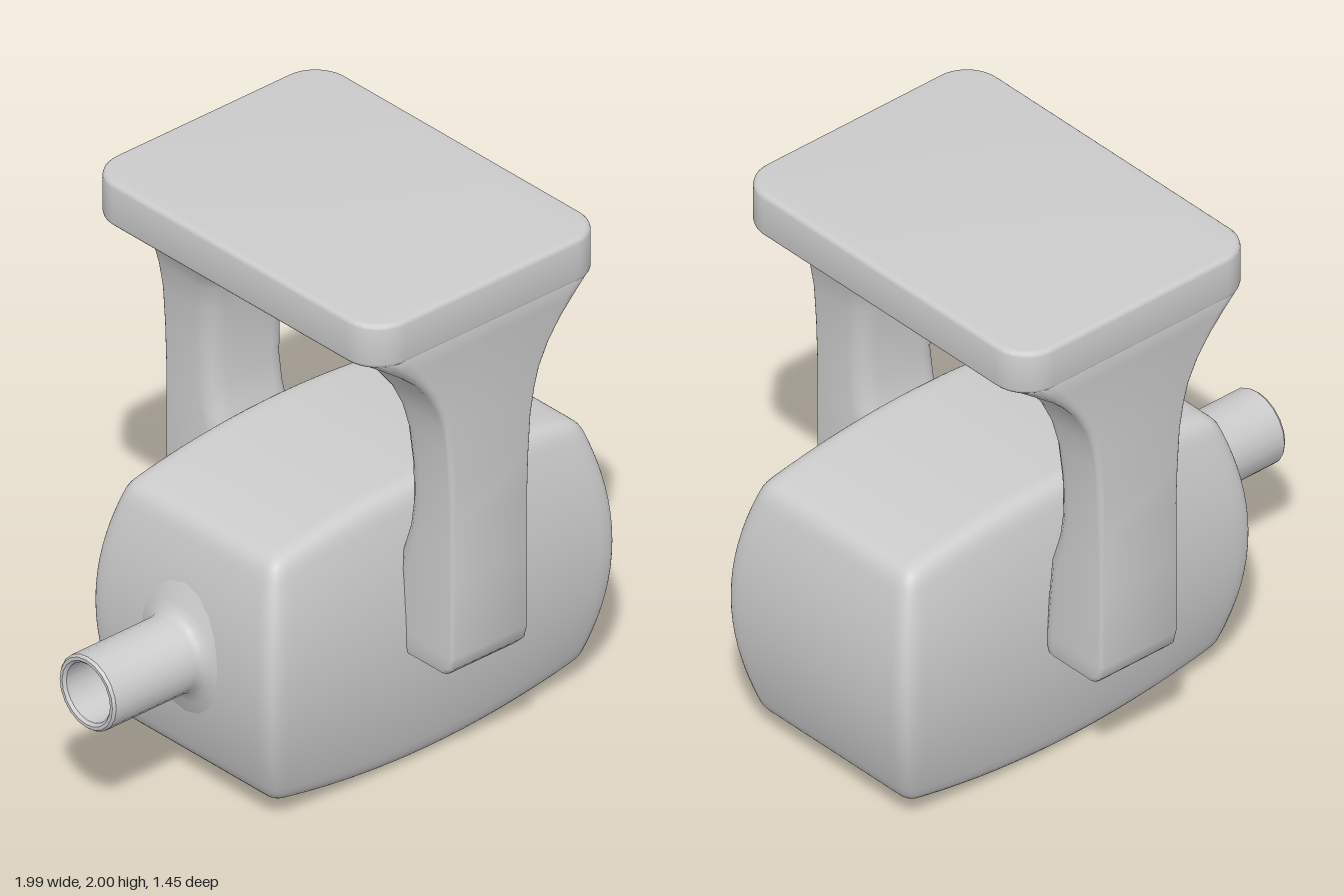
import * as THREE from 'three';
import { mergeVertices, toCreasedNormals } from 'three/addons/utils/BufferGeometryUtils.js';

const material = new THREE.MeshStandardMaterial({ color: 0xcccccc, side: THREE.DoubleSide });

function addMesh(parent, name, geometry) {
  const mesh = new THREE.Mesh(geometry, material);
  mesh.name = name;
  parent.add(mesh);
  return mesh;
}

// Soft-edged box whose faces swell towards their middles
function barrelBody() {
  const half = [0.785, 0.545, 0.465], r = 0.06, n = 28;
  const box = new THREE.BoxGeometry(2, 2, 2, n, n, n);
  box.deleteAttribute('uv');
  box.deleteAttribute('normal');
  const geo = mergeVertices(box, 1e-5);
  const pos = geo.attributes.position;
  const p = new THREE.Vector3(), q = new THREE.Vector3();
  const inner = new THREE.Vector3(half[0] - r, half[1] - r, half[2] - r);
  const lower = inner.clone().negate();
  for (let i = 0; i < pos.count; i++) {
    // crowd the grid lines near the edges, then round the edges
    p.fromArray([0, 1, 2].map(k => half[k] * Math.sin(pos.getComponent(i, k) * Math.PI / 2)));
    q.copy(p).clamp(lower, inner);
    p.sub(q).setLength(r).add(q);
    const u = p.x / half[0], v = p.y / half[1];
    pos.setXYZ(i,
      p.x * (1 - 0.115 * v * v),
      p.y * (1 - 0.135 * u * u),
      p.z * (1 - 0.19 * v * v - 0.015 * u * u));
  }
  geo.computeVertexNormals();
  return geo;
}

// Horizontal rounded rectangle: half width w, z from zi to zo, corner radii ri and ro
function section(y, w, zi, zo, ri, ro) {
  const steps = 4, pts = [];
  const corners = [[w, zo, ro, 1, 1], [-w, zo, ro, -1, 1], [-w, zi, ri, -1, -1], [w, zi, ri, 1, -1]];
  corners.forEach(([x, z, r, sx, sz], k) => {
    for (let s = 0; s <= steps; s++) {
      const a = (k + s / steps) * Math.PI / 2;
      pts.push(x - sx * r + r * Math.cos(a), y, z - sz * r + r * Math.sin(a));
    }
  });
  return pts;
}

// Leg that flares sideways and inwards into the plate
function legGeometry() {
  // y, half width, inner z, outer z, outer corner radius
  const rows = [
    [0.49, 0.15, 0.40, 0.63, 0.02], [0.50, 0.165, 0.40, 0.68, 0.02],
    [0.53, 0.172, 0.40, 0.71, 0.02], [0.58, 0.172, 0.40, 0.723, 0.02],
    [0.88, 0.172, 0.43, 0.723, 0.02], [1.0, 0.172, 0.47, 0.723, 0.02],
    [1.1, 0.172, 0.485, 0.723, 0.02], [1.25, 0.177, 0.487, 0.723, 0.02],
    [1.4, 0.187, 0.475, 0.723, 0.02], [1.5, 0.205, 0.457, 0.723, 0.02],
    [1.57, 0.228, 0.43, 0.723, 0.025], [1.65, 0.272, 0.35, 0.723, 0.03],
    [1.70, 0.315, 0.265, 0.723, 0.04], [1.74, 0.362, 0.14, 0.723, 0.06],
    [1.757, 0.387, -0.08, 0.723, 0.07], [1.79, 0.44, -0.08, 0.723, 0.1],
    [1.835, 0.51, -0.08, 0.723, 0.13], [1.87, 0.515, -0.08, 0.715, 0.13],
  ];
  const verts = rows.flatMap(([y, w, zi, zo, ro]) => section(y, w, zi, zo, 0.07, ro));
  const m = 20, index = [];
  for (let i = 0; i < rows.length - 1; i++) {
    for (let j = 0; j < m; j++) {
      const a = i * m + j, b = i * m + (j + 1) % m;
      index.push(a, a + m, b, b, a + m, b + m);
    }
  }
  for (let j = 1; j < m - 1; j++) index.push(0, j, j + 1); // foot cap
  const geo = new THREE.BufferGeometry();
  geo.setAttribute('position', new THREE.Float32BufferAttribute(verts, 3));
  geo.setIndex(index);
  return toCreasedNormals(geo, 0.65);
}

// Rounded rectangular top plate
function plateGeometry() {
  const bevel = 0.018, w = 0.525 - bevel, d = 0.723 - bevel, r = 0.12;
  const s = new THREE.Shape();
  s.absarc(w - r, d - r, r, 0, Math.PI / 2);
  s.absarc(-w + r, d - r, r, Math.PI / 2, Math.PI);
  s.absarc(-w + r, -d + r, r, Math.PI, Math.PI * 1.5);
  s.absarc(w - r, -d + r, r, Math.PI * 1.5, Math.PI * 2);
  s.closePath();
  const geo = new THREE.ExtrudeGeometry(s, {
    depth: 0.17 - 2 * bevel, bevelEnabled: true, bevelSize: bevel,
    bevelThickness: bevel, bevelSegments: 3, curveSegments: 8,
  });
  geo.rotateX(-Math.PI / 2);
  geo.translate(0, 1.83 + bevel, 0);
  return toCreasedNormals(geo, 0.65);
}

// Hollow pipe with a flared root; profile is radius, distance along the axis
function pipeGeometry() {
  const profile = [
    [0, 0.62], [0.105, 0.62], [0.11, 0.99], [0.12, 1], [0.132, 1], [0.14, 0.99],
    [0.14, 0.63], [0.146, 0.61], [0.16, 0.595], [0.185, 0.582], [0.22, 0.568], [0.26, 0.55], [0.28, 0.5],
  ].map(([r, h]) => new THREE.Vector2(r, h)).reverse();
  const geo = new THREE.LatheGeometry(profile, 20);
  geo.rotateZ(Math.PI / 2);
  return toCreasedNormals(geo, 0.65);
}

export function createModel() {
  const model = new THREE.Group();
  model.name = 'mountedBarrel';

  addMesh(model, 'body', barrelBody()).position.set(0.205, 0.546, 0.025);
  addMesh(model, 'pipe', pipeGeometry()).position.set(0, 0.55, 0.022);

  const bracket = new THREE.Group();
  bracket.name = 'bracket';
  bracket.position.x = 0.195;
  const leg = legGeometry();
  addMesh(bracket, 'frontLeg', leg);
  addMesh(bracket, 'backLeg', leg).rotation.y = Math.PI;
  addMesh(bracket, 'topPlate', plateGeometry());
  model.add(bracket);

  return model;
}
